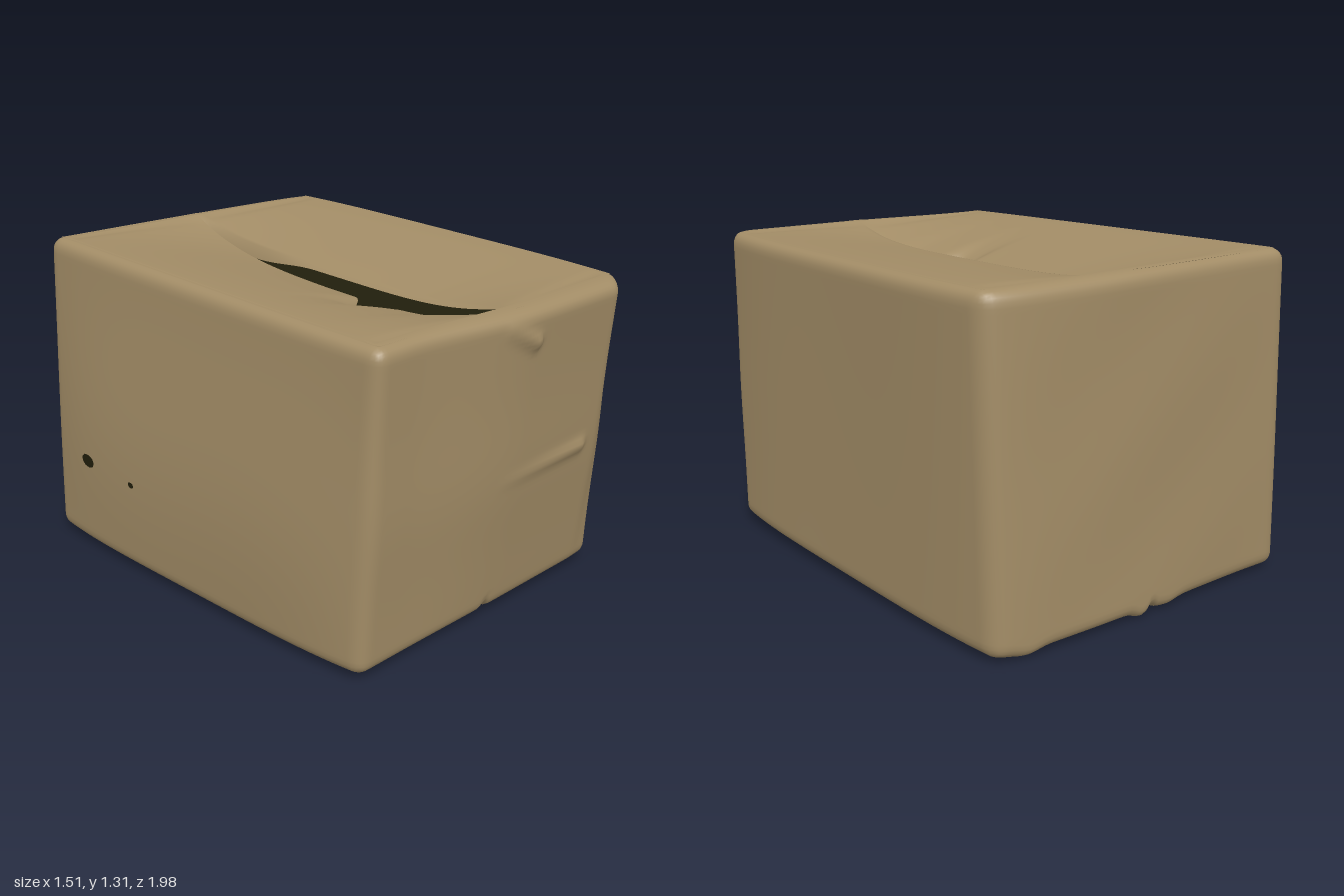
import * as THREE from 'three';
import { mergeVertices } from 'three/addons/utils/BufferGeometryUtils.js';

const W = 1.4, H = 1.27, D = 1.85, R = 0.05;
const { lerp, clamp, smoothstep } = THREE.MathUtils;
// Corners as [x, y, z]; index bits: 1 = +x, 2 = top, 4 = front
const CORNERS = [
  [-0.705, 0.022, -0.99], [0.72, 0.022, -0.93], [-0.655, 1.32, -0.995], [0.745, 1.31, -0.89],
  [-0.69, 0.03, 0.84], [0.697, 0.03, 0.85], [-0.668, 1.262, 0.89], [0.66, 1.275, 0.92],
];
const bell = (v, centre, width) => Math.exp(-(((v - centre) / width) ** 2));

// Distance from a point to a segment, for raised creases
function segDist(x, y, x0, y0, x1, y1) {
  const dx = x1 - x0, dy = y1 - y0;
  const t = clamp(((x - x0) * dx + (y - y0) * dy) / (dx * dx + dy * dy), 0, 1);
  return { d: Math.hypot(x - x0 - t * dx, y - y0 - t * dy), t };
}

// Maps the unit cube onto the slumped carton, with dents and creases
function warp(a, b, c) {
  const p = new THREE.Vector3();
  CORNERS.forEach((k, i) => {
    const w = (1 + (i & 1 ? a : -a)) * (1 + (i & 2 ? b : -b)) * (1 + (i & 4 ? c : -c)) / 8;
    p.x += k[0] * w; p.y += k[1] * w; p.z += k[2] * w;
  });
  const { x, y, z } = p;
  // Bulging side walls
  if (a < 0) p.x += a * 0.058 * (1 - c ** 4) * bell(y, 0.45, 0.6);
  else p.x += a * 0.033 * (1 - c ** 4);
  // Front: leaning out to a curled top lip, long crease and short torn fold
  if (c > 0) {
    const across = smoothstep(x, -0.5, 0.1) * (1 - smoothstep(x, 0.55, 0.67));
    p.z += 0.068 * c ** 8 * across * (Math.max(y, 0) / 1.27) ** 0.7;
    p.z += 0.012 * c * bell(y, 0.6, 0.25) * (1 - a * a * 0.3);
    if (c > 0.97) {
      const long = segDist(x, y, -0.05, 0.6, 0.455, 0.622);
      p.z += 0.02 * bell(long.d, 0, 0.026) * long.t;
      const short = segDist(x, y, -0.05, 1.205, 0.08, 1.14);
      p.z += 0.025 * bell(short.d, 0, 0.025) * (0.3 + 0.7 * short.t);
    }
  } else {
    // Back: fuller towards the +x corner, with shallow wrinkles
    p.z -= 0.038 * smoothstep(a, -0.9, 0.4) * (1 - a ** 8) * c ** 4;
    if (c < -0.97) p.z += 0.006 * Math.sin(x * 6 + y * 3) * Math.sin(y * 5) * (1 - a * a);
  }
  // Bottom seam groove and frayed back edge
  if (b < -0.9) {
    p.y += 0.02 * bell(x, 0.0, 0.018);
    if (c < 0) p.y -= c ** 8 * (0.016 * bell(x, -0.09, 0.06) + 0.025 * bell(x, 0.05, 0.04) + 0.018 * bell(x, 0.58, 0.06));
  }
  p.y = Math.max(p.y, 0);
  return p;
}

// Rounded, warped walls and floor, open at the top
function bodyGeometry() {
  let geo = new THREE.BoxGeometry(W, H, D, 72, 64, 84);
  geo.deleteAttribute('uv');
  geo.deleteAttribute('normal');
  geo = mergeVertices(geo, 1e-4);
  const pos = geo.attributes.position, idx = geo.index.array, keep = [];
  const inTop = (i) => pos.getY(i) > H / 2 - 1e-4
    && Math.abs(pos.getX(i)) < W / 2 - R && Math.abs(pos.getZ(i)) < D / 2 - R;
  for (let i = 0; i < idx.length; i += 3) {
    const tri = [idx[i], idx[i + 1], idx[i + 2]];
    if (!tri.every(inTop)) keep.push(...tri);
  }
  geo.setIndex(keep);
  const p = new THREE.Vector3(), inner = new THREE.Vector3();
  const lim = new THREE.Vector3(W / 2 - R, H / 2 - R, D / 2 - R);
  for (let i = 0; i < pos.count; i++) {
    p.fromBufferAttribute(pos, i);
    inner.copy(p).clamp(lim.clone().negate(), lim);
    p.sub(inner).setLength(R).add(inner);
    const q = warp(p.x * 2 / W, p.y * 2 / H, p.z * 2 / D);
    pos.setXYZ(i, q.x, q.y, q.z);
  }
  geo.computeVertexNormals();
  return geo;
}

// Surface from a function of u (along +x) and v (along +z), facing up
function grid(fn, nu, nv) {
  const pts = [], index = [];
  for (let j = 0; j <= nv; j++) for (let i = 0; i <= nu; i++) pts.push(...fn(i / nu, j / nv).toArray());
  for (let j = 0; j < nv; j++) for (let i = 0; i < nu; i++) {
    const k = j * (nu + 1) + i, n = k + nu + 1;
    index.push(k, n, k + 1, k + 1, n, n + 1);
  }
  const geo = new THREE.BufferGeometry();
  geo.setAttribute('position', new THREE.Float32BufferAttribute(pts, 3));
  geo.setIndex(index);
  geo.computeVertexNormals();
  return geo;
}

// Top flap; side -1 sags lower and is torn, side +1 stays above it at the seam
function flapGeometry(side) {
  const ax = 1 - R * 1.5 / W, cz = 1 - R * 1.5 / D;
  return grid((u, v) => {
    const t = side < 0 ? u : 1 - u;
    const c = lerp(-cz, cz, v);
    const p = warp(side * ax, 1, c), z = p.z;
    let seam = 0.048 - 0.033 * z;
    let tear = 0;
    if (side < 0) {
      seam -= 0.045 * smoothstep(z, -0.78, 0.05) * (1 - smoothstep(z, 0.5, 0.63));
      tear = Math.exp(-(((z - 0.24) / 0.08) ** 4));
    }
    // The tear only pulls back the strip next to the seam
    p.x = lerp(p.x, seam, t) - 0.085 * tear * t ** 6;
    const mid = warp(p.x / 0.7, 1, c);
    const sag = (side < 0 ? 0.13 : 0.08) * t ** 1.5 * (1 - (c / cz) ** 4);
    p.y = mid.y - sag - 0.03 * tear * t ** 3;
    p.z = lerp(z, mid.z, t);
    // Soft fold just inside each end
    p.y -= 0.008 * bell(Math.abs(c), 0.92, 0.03) * (1 - (2 * t - 1) ** 8);
    // Raised flap has a lip turned down along the seam, deepest at the back
    if (side > 0 && u === 0) p.y -= (1 - (c / cz) ** 4) * (0.012 + 0.045 * (1 - smoothstep(z, -0.55, -0.1)));
    return p;
  }, 36, 100);
}

export function createModel() {
  const cardboard = new THREE.MeshStandardMaterial({ color: 0xa28c66, side: THREE.DoubleSide });
  cardboard.name = 'cardboard';
  const shadow = new THREE.MeshStandardMaterial({ color: 0x211e0c, side: THREE.DoubleSide });
  shadow.name = 'dark inside';
  const group = new THREE.Group();
  group.name = 'cardboardBox';
  const add = (name, geo, mat) => {
    const mesh = new THREE.Mesh(geo, mat);
    mesh.name = name;
    group.add(mesh);
    return mesh;
  };

  add('walls', bodyGeometry(), cardboard);
  add('saggingFlap', flapGeometry(-1), cardboard);
  add('raisedFlap', flapGeometry(1), cardboard);

  // Dark interior seen through the gap
  add('interior', new THREE.BoxGeometry(1.1, 0.008, 1.6), shadow).position.set(0.02, 1.08, -0.02);

  // Small holes in the -x wall
  [[0.42, -0.7, 0.045], [0.41, -0.39, 0.02]].forEach(([y, z, r]) => {
    const b = (y / 1.3) * 2 - 1, c = (z + 0.05) / 0.93;
    const hole = add('hole', new THREE.CircleGeometry(r, 9), shadow);
    hole.rotation.y = -Math.PI / 2 - 0.06;
    hole.scale.y = 0.65;
    hole.position.set(warp(-1, b, c).x - 0.006, y, z);
  });
  return group;
}
